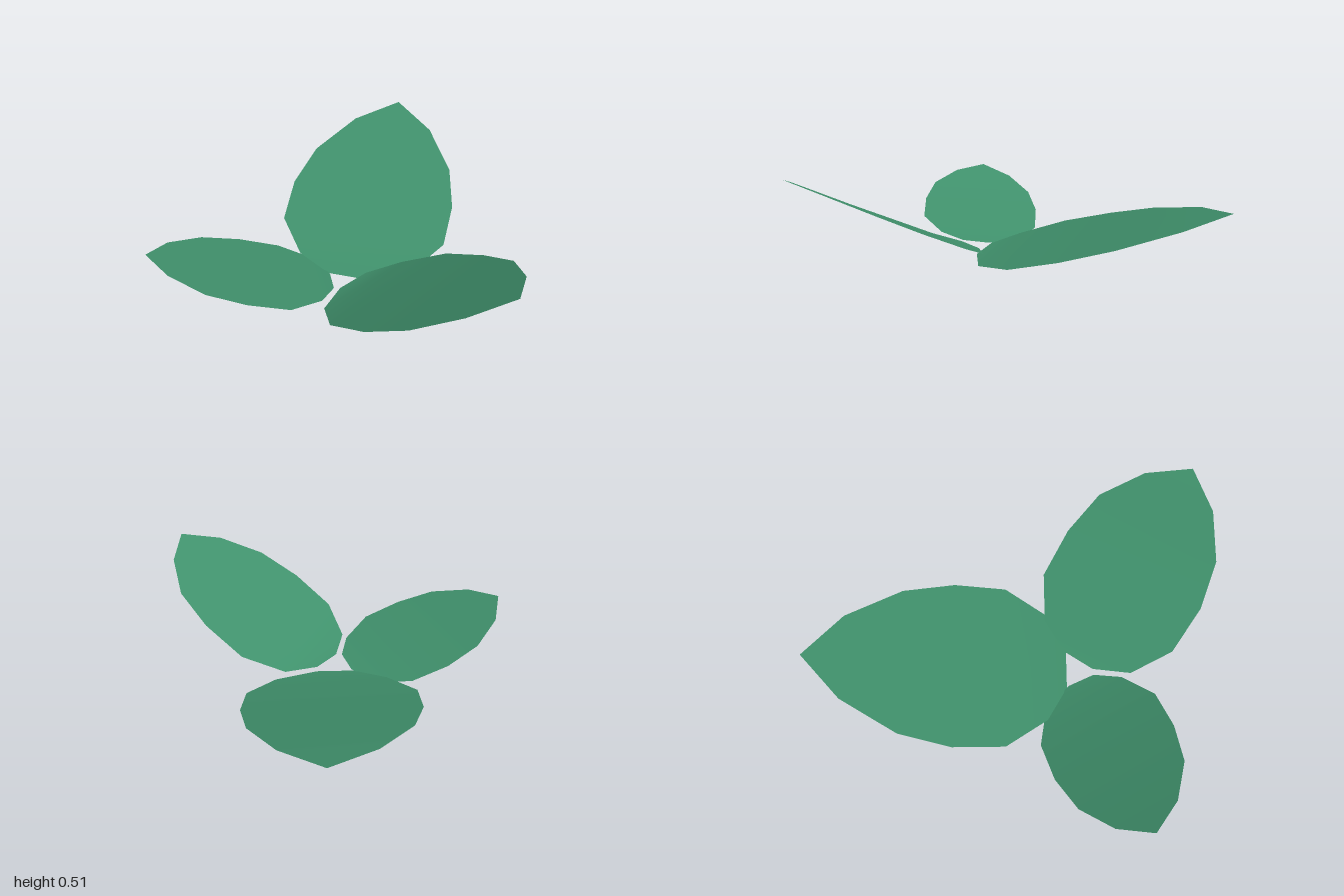
import * as THREE from 'three';

// Half-width of a leaf at each row from base to tip, relative to its widest row
const PROFILE = [0.22, 0.66, 0.98, 1, 0.87, 0.5, 0];

// A thin leaf: cross rows laid along a midrib, closing to a point at the tip
function leafGeometry(midrib, side, halfWidth) {
  const across = new THREE.Vector3(...side).normalize();
  const positions = [];
  const index = [];
  const last = midrib.length - 1;
  midrib.forEach((point, i) => {
    const mid = new THREE.Vector3(...point);
    const signs = i === last ? [0] : [-1, 1];
    for (const s of signs) {
      positions.push(...mid.clone().addScaledVector(across, s * halfWidth * PROFILE[i]).toArray());
    }
    if (i < last - 1) {
      const a = i * 2;
      index.push(a, a + 1, a + 3, a, a + 3, a + 2);
    } else if (i === last - 1) {
      index.push(i * 2, i * 2 + 1, i * 2 + 2);
    }
  });
  const geometry = new THREE.BufferGeometry();
  geometry.setAttribute('position', new THREE.Float32BufferAttribute(positions, 3));
  geometry.setIndex(index);
  geometry.computeVertexNormals();
  return geometry;
}

const LEAVES = [
  {
    name: 'backLeaf', side: [0.947, -0.065, -0.31], halfWidth: 0.45,
    midrib: [
      [-0.165, 0.012, 0.285], [-0.18, 0.026, 0.18], [-0.255, 0.076, -0.025], [-0.345, 0.143, -0.28],
      [-0.43, 0.213, -0.535], [-0.52, 0.285, -0.81], [-0.585, 0.33, -1],
    ],
  },
  {
    name: 'leftLeaf', side: [-0.265, 0, 0.965], halfWidth: 0.406,
    midrib: [
      [-0.1, 0.04, 0.33], [-0.02, 0.06, 0.355], [0.165, 0.145, 0.405], [0.4, 0.257, 0.473],
      [0.615, 0.365, 0.53], [0.8, 0.46, 0.585], [0.92, 0.52, 0.62],
    ],
  },
  {
    name: 'rightLeaf', side: [-0.65, -0.11, -0.75], halfWidth: 0.33,
    midrib: [
      [-0.2, 0.03, 0.375], [-0.27, 0.042, 0.41], [-0.39, 0.085, 0.52], [-0.545, 0.147, 0.647],
      [-0.69, 0.21, 0.77], [-0.818, 0.268, 0.875], [-0.895, 0.305, 0.94],
    ],
  },
];

export function createModel() {
  const leafGreen = new THREE.MeshStandardMaterial({ color: 0x40916c, side: THREE.DoubleSide });
  leafGreen.name = 'leafGreen';

  const group = new THREE.Group();
  group.name = 'leafSprig';
  for (const { name, midrib, side, halfWidth } of LEAVES) {
    const leaf = new THREE.Mesh(leafGeometry(midrib, side, halfWidth), leafGreen);
    leaf.name = name;
    group.add(leaf);
  }
  return group;
}
